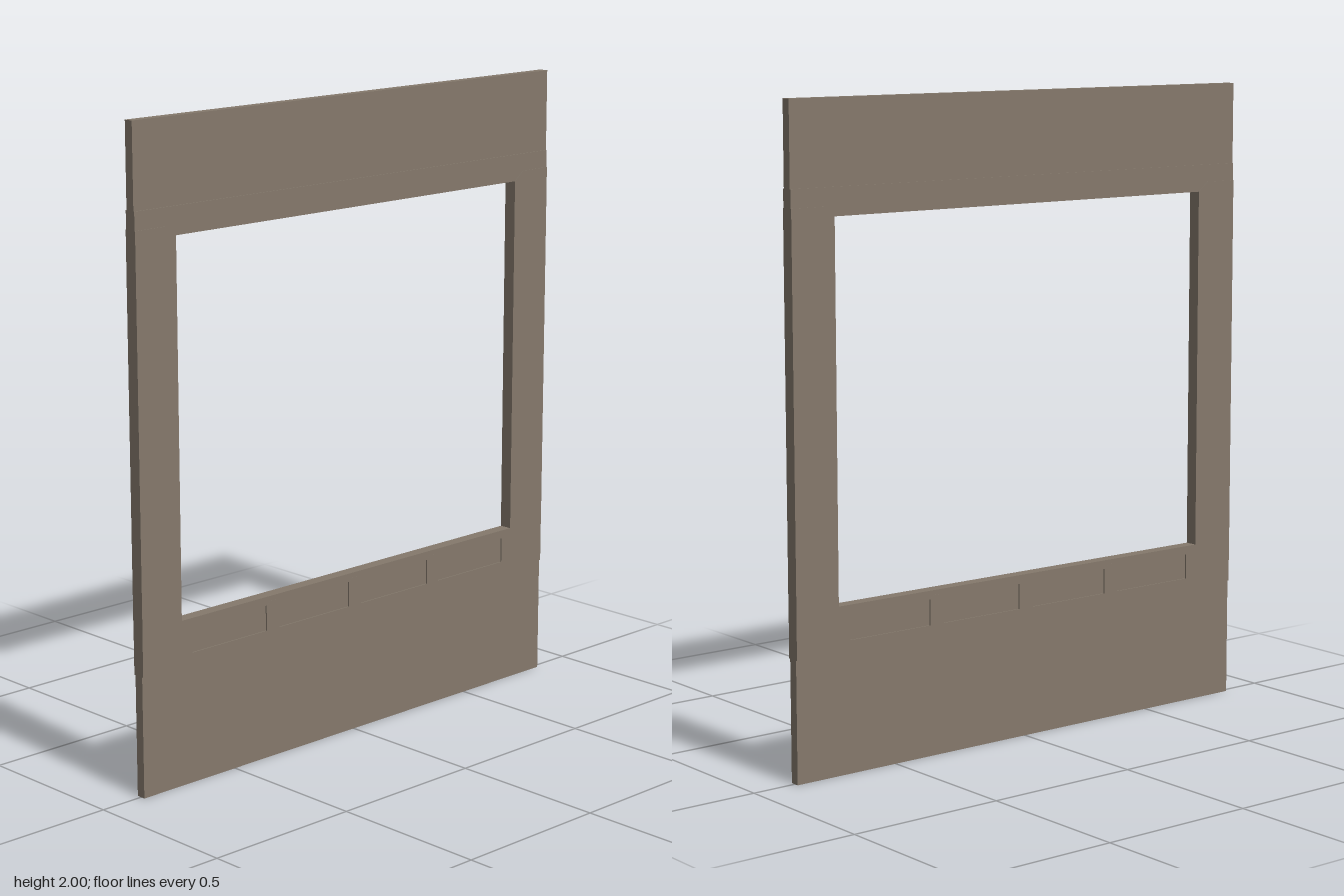
import * as THREE from 'three';

const W = 0.857;   // half width of the wall along z
const O = 0.707;   // half width of the opening

export function createModel() {
  const group = new THREE.Group();
  const stone = new THREE.MeshStandardMaterial({ color: 0x85796c });
  stone.name = 'taupe stone';

  const rect = (a, b, y0, y1) => [[a, y0], [b, y0], [b, y1], [a, y1]];
  const toPoints = (list) => list.map(([u, y]) => new THREE.Vector2(u, y));

  // Slab lying in the z-y plane, h thick on each side of x = 0
  function slab(name, outline, h, holes = []) {
    const shape = new THREE.Shape(toPoints(outline));
    holes.forEach((p) => shape.holes.push(new THREE.Path(toPoints(p))));
    const geo = new THREE.ExtrudeGeometry(shape, { depth: 2 * h, bevelEnabled: false });
    geo.translate(0, 0, -h);
    geo.rotateY(Math.PI / 2);
    const mesh = new THREE.Mesh(geo, stone);
    mesh.name = name;
    group.add(mesh);
  }

  // Thin panels above and below the window band
  slab('upperPanel', rect(-W, W, 1.745, 2), 0.015);
  slab('lowerPanel', rect(-W, W, 0, 0.375), 0.015);

  // Lintel with chamfered shoulders over the opening
  slab('lintel', [
    [-W, 1.69], [-0.745, 1.69], [-O, 1.66], [O, 1.66], [0.745, 1.69], [W, 1.69],
    [W, 1.745], [-W, 1.745],
  ], 0.0185);

  // Side pillars, shaped to meet the shoulders
  for (const s of [-1, 1]) {
    slab(s < 0 ? 'frontPillar' : 'rearPillar', [
      [s * O, 0.515], [s * W, 0.515], [s * W, 1.69], [s * 0.745, 1.69], [s * O, 1.66],
    ], 0.0205);
  }

  // Sill with four recessed slots
  const slots = [[-0.667, -0.371], [-0.319, -0.026], [0.026, 0.319], [0.371, 0.667]]
    .map(([a, b]) => rect(a, b, 0.408, 0.488));
  slab('sill', rect(-W, W, 0.375, 0.515), 0.02, slots);
  slots.forEach((p) => slab('slotPanel', p, 0.016));

  // Small posts with clipped tops between the slots
  for (const c of [-0.345, 0, 0.345]) {
    slab('slotPost', [
      [c - 0.026, 0.408], [c + 0.026, 0.408], [c + 0.026, 0.488],
      [c + 0.012, 0.5], [c - 0.012, 0.5], [c - 0.026, 0.488],
    ], 0.0205);
  }
  return group;
}
